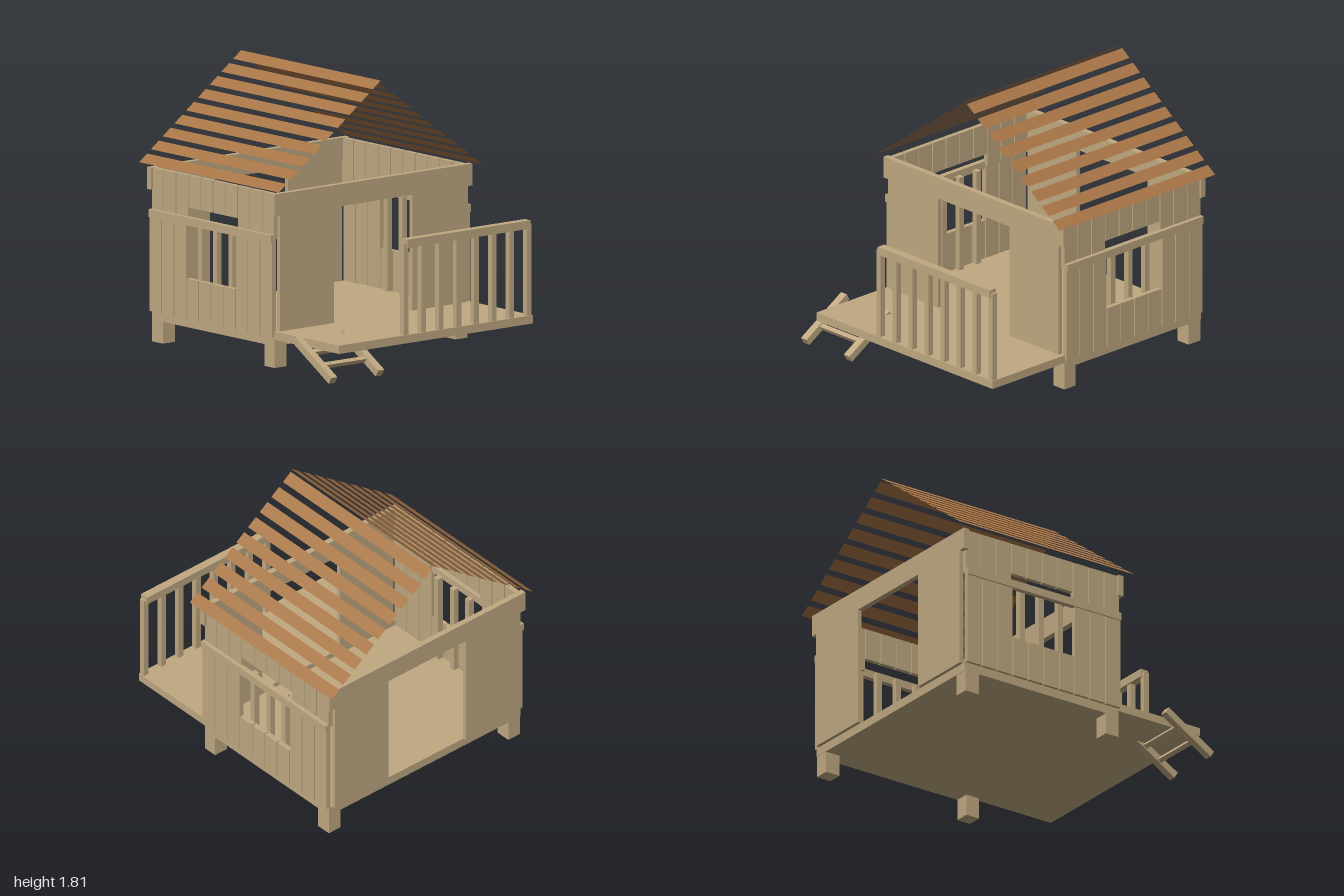
import * as THREE from 'three';

const timber = new THREE.MeshStandardMaterial({ color: 0xc0a982 });
timber.name = 'pale timber';
const roofing = new THREE.MeshStandardMaterial({ color: 0xa87546, side: THREE.DoubleSide });
roofing.name = 'brown roof boards';

// z of the ridge line, about which the house is symmetric
const MID = -0.024;

// Box given by its extents on each axis
function box(parent, name, x0, x1, y0, y1, z0, z1) {
  const mesh = new THREE.Mesh(
    new THREE.BoxGeometry(Math.abs(x1 - x0), Math.abs(y1 - y0), Math.abs(z1 - z0)), timber);
  mesh.position.set((x0 + x1) / 2, (y0 + y1) / 2, (z0 + z1) / 2);
  mesh.name = name;
  parent.add(mesh);
  return mesh;
}

function group(parent, name) {
  const g = new THREE.Group();
  g.name = name;
  parent.add(g);
  return g;
}

// Plank wall with a barred window; s = 1 for the front, -1 for the back
function plankWall(parent, s) {
  const wall = group(parent, s > 0 ? 'frontWall' : 'backWall');
  const part = (name, x0, x1, y0, y1, a, b) =>
    box(wall, name, x0, x1, y0, y1, MID + s * a, MID + s * b);
  for (let i = 0; i < 10; i++) {
    const x0 = -0.917 + i * 0.1231, x1 = x0 + 0.116;
    const atWindow = i >= 3 && i <= 6;
    part('lowerPlank', x0, x1, 0.203, atWindow ? 0.47 : 0.85, 0.808, 0.842);
    part('upperPlank', x0, x1, atWindow ? 0.936 : 0.85, 1.148, 0.791, 0.824);
  }
  for (const x of [-0.454, -0.302, -0.148]) {
    part('windowBar', x - 0.02, x + 0.02, 0.203, 0.85, 0.769, 0.808);
  }
  part('wallRail', -0.917, 0.307, 0.824, 0.877, 0.815, 0.852);
}

// Side wall with a doorway: two panels under a long beam
function doorWall(parent, name, x0, x1, b0, b1) {
  const wall = group(parent, name);
  for (const s of [1, -1]) {
    box(wall, 'wallPanel', x0, x1, 0.203, 1.005, MID + s * 0.333, MID + s * 0.793);
  }
  box(wall, 'doorBeam', b0, b1, 1.005, 1.15, -0.866, 0.818);
}

// Thin roof boards running along x, stepping down from the ridge
function roofSlope(parent, s, top) {
  const slope = group(parent, s > 0 ? 'frontRoof' : 'backRoof');
  const dz = 0.067, dy = 0.049;
  const geo = new THREE.PlaneGeometry(1.398, Math.hypot(dz, dy));
  geo.rotateX(-Math.PI / 2);
  geo.rotateX(s * Math.atan2(dy, dz));
  for (let i = 0; i < 9; i++) {
    const board = new THREE.Mesh(geo, roofing);
    board.name = 'roofBoard';
    board.position.set(-0.301, top - i * 0.073 - dy / 2, -0.03 + s * (i * 0.1 + dz / 2));
    slope.add(board);
  }
}

export function createModel() {
  const model = new THREE.Group();
  model.name = 'porchCabin';

  // Base: floor on four feet, porch deck on the left side
  const base = group(model, 'base');
  box(base, 'houseFloor', -0.92, 0.307, 0.144, 0.203, -0.847, 0.797);
  box(base, 'porchDeck', 0.3, 0.956, 0.186, 0.241, -0.85, 0.798);
  for (const [x0, x1] of [[-0.917, -0.81], [0.206, 0.307]]) {
    for (const [z0, z1] of [[0.695, 0.797], [-0.847, -0.745]]) {
      box(base, 'foot', x0, x1, 0, 0.144, z0, z1);
    }
  }

  // Walls and roof
  plankWall(model, 1);
  plankWall(model, -1);
  doorWall(model, 'leftWall', 0.3, 0.33, 0.291, 0.332);
  doorWall(model, 'rightWall', -0.944, -0.914, -0.944, -0.905);
  roofSlope(model, 1, 1.808);
  roofSlope(model, -1, 1.783);

  // Porch railing
  const railing = group(model, 'porchRailing');
  for (let i = 0; i < 8; i++) {
    const z = 0.223 - i * 0.1497;
    box(railing, 'railingPost', 0.912, 0.95, 0.241, 0.845, z - 0.02, z + 0.02);
  }
  box(railing, 'handrail', 0.902, 0.96, 0.815, 0.87, -0.827, 0.22);

  // Ladder-like steps: sloping stringers joined by two rungs
  const steps = group(model, 'steps');
  steps.position.set(0.803, 0.134, 0);
  steps.rotation.z = -Math.atan2(41, 67.5);
  for (const z of [0.447, 0.847]) {
    box(steps, 'stringer', -0.211, 0.211, -0.0245, 0.0245, z, z + 0.053);
  }
  for (const x of [-0.071, 0.064]) {
    box(steps, 'rung', x - 0.015, x + 0.015, -0.015, 0.015, 0.49, 0.855);
  }
  return model;
}
